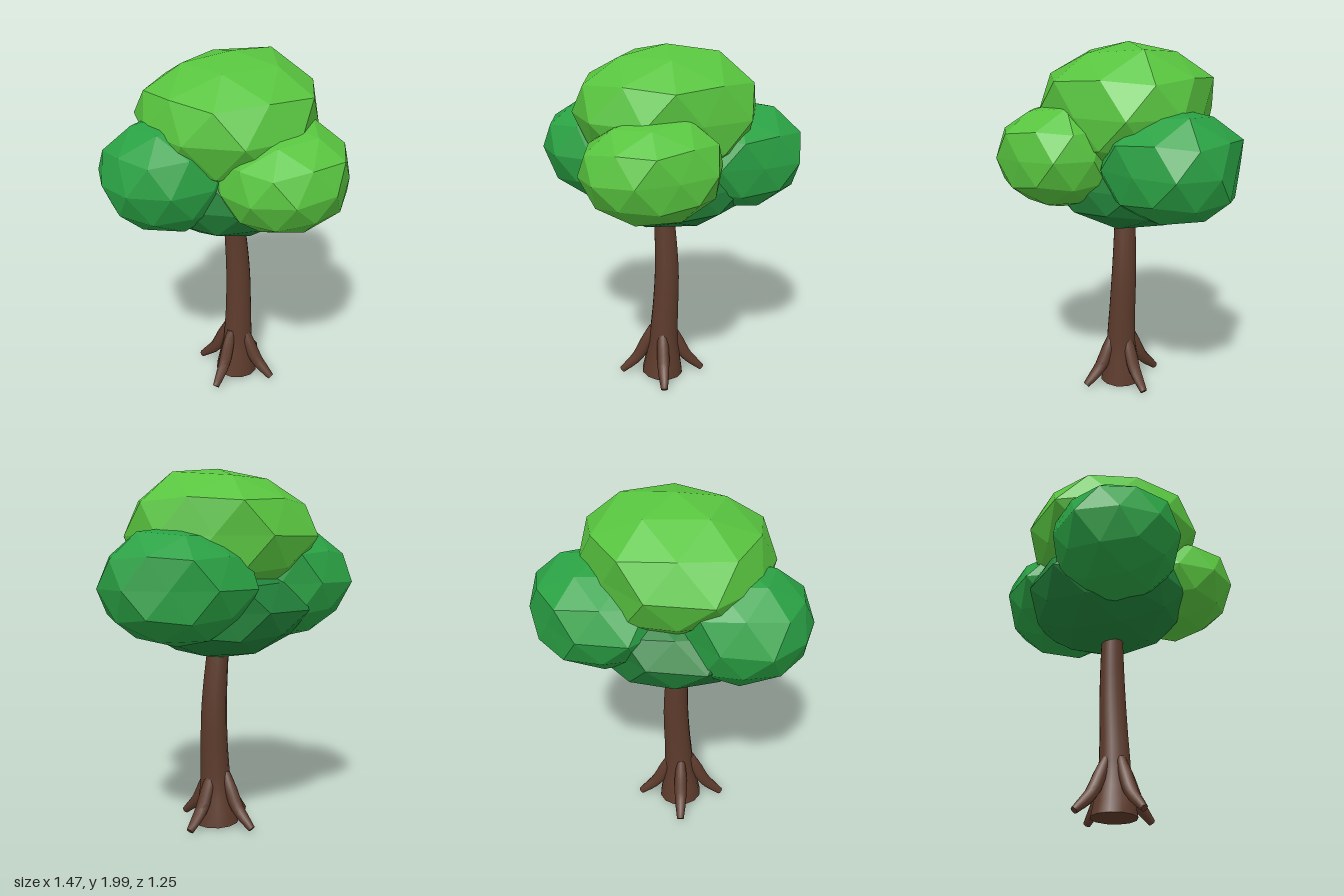
import * as THREE from 'three';
import { toCreasedNormals } from 'three/addons/utils/BufferGeometryUtils.js';

const leafLight = new THREE.MeshStandardMaterial({ color: 0x58c43f, flatShading: true, name: 'lightLeaves' });
const leafDark = new THREE.MeshStandardMaterial({ color: 0x2aa144, flatShading: true, name: 'darkLeaves' });
const leafDeep = new THREE.MeshStandardMaterial({ color: 0x22823a, flatShading: true, name: 'deepLeaves' });
const bark = new THREE.MeshStandardMaterial({ color: 0x5d3b2c, name: 'bark' });

// Tapered, capped tube along a curve through the given points
function taperedTube(points, radii, sides, segments) {
  const path = new THREE.CatmullRomCurve3(points.map((p) => new THREE.Vector3(...p)));
  const geo = new THREE.TubeGeometry(path, segments, 1, sides);
  const pos = geo.attributes.position;
  const v = new THREE.Vector3();
  for (let i = 0; i <= segments; i++) {
    const from = path.getPointAt(i / segments);
    const u = THREE.MathUtils.clamp((i - 1) / (segments - 2), 0, 1);
    const to = path.getPointAt(u);
    const k = Math.min(Math.floor(u * (radii.length - 1)), radii.length - 2);
    const capped = i === 0 || i === segments;
    const r = capped ? 0 : THREE.MathUtils.lerp(radii[k], radii[k + 1], u * (radii.length - 1) - k);
    for (let j = 0; j <= sides; j++) {
      const n = i * (sides + 1) + j;
      v.fromBufferAttribute(pos, n).sub(from).multiplyScalar(r).add(to);
      pos.setXYZ(n, v.x, v.y, v.z);
    }
  }
  return toCreasedNormals(geo, 0.8);
}

// Faceted unit clump: an icosphere standing on a corner, with an uneven girth
function clumpGeometry() {
  const girth = [1.01, 0.91, 1, 1.03, 1.01, 1, 1.1, 1, 0.86, 0.97];
  const geo = new THREE.IcosahedronGeometry(1, 1);
  geo.rotateZ(Math.atan(2 / (1 + Math.sqrt(5)))).rotateY(Math.PI);
  const pos = geo.attributes.position;
  for (let i = 0; i < pos.count; i++) {
    const x = pos.getX(i), y = pos.getY(i), z = pos.getZ(i);
    if (Math.abs(y) < 0.01) {
      // Girth corners, one every 36 degrees
      const step = Math.round((Math.atan2(z, x) - Math.PI / 10) / (Math.PI / 5));
      const f = girth[(step + 10) % 10];
      pos.setXYZ(i, x * f, y, z * f);
    } else if (y > 0.8 && x > 0.45) {
      // Raised shoulder on one side
      pos.setXYZ(i, x * 1.06, y * 1.08, z);
    } else if (y > 0.4 && y < 0.5) {
      // Fuller upper ring
      pos.setXYZ(i, x * 1.04, y * 1.06, z * 1.04);
    }
  }
  geo.computeVertexNormals();
  return geo;
}

export function createModel() {
  const tree = new THREE.Group();
  tree.name = 'tree';

  // Gently bent trunk, flared at the foot
  const trunk = new THREE.Mesh(taperedTube(
    [[-0.022, 0.015, -0.08], [-0.01, 0.3, -0.075], [0.004, 0.68, -0.085], [-0.013, 1.0, -0.095], [-0.04, 1.3, -0.1]],
    [0.125, 0.088, 0.078, 0.073, 0.066, 0.058, 0.052], 12, 20), bark);
  trunk.name = 'trunk';
  tree.add(trunk);

  // Four roots leaning out from the trunk
  const rootGeo = taperedTube(
    [[0.055, 0.315, 0], [0.095, 0.22, 0], [0.145, 0.12, 0], [0.245, 0.022, 0]],
    [0.024, 0.036, 0.038, 0.032, 0.02], 8, 12);
  for (let i = 0; i < 4; i++) {
    const root = new THREE.Mesh(rootGeo, bark);
    root.name = 'root' + (i + 1);
    root.position.set(-0.025, 0, -0.08);
    root.rotation.y = 0.29 + (i * Math.PI) / 2;
    tree.add(root);
  }

  // Leaf canopy: name, material, centre, radii, sideways tilt
  const clump = clumpGeometry();
  const canopy = [
    ['topLeaves', leafLight, [-0.005, 1.64, -0.105], [0.515, 0.36, 0.495], 0],
    ['frontLeaves', leafLight, [0.005, 1.405, 0.28], [0.385, 0.285, 0.345], 0.07],
    ['leftLeaves', leafDark, [0.345, 1.38, -0.245], [0.408, 0.305, 0.385], 0],
    ['rightLeaves', leafDark, [-0.365, 1.395, -0.21], [0.387, 0.318, 0.345], 0],
    ['bottomLeaves', leafDeep, [0, 1.255, -0.13], [0.465, 0.277, 0.45], 0],
  ];
  for (const [name, material, centre, radii, tilt] of canopy) {
    const leaves = new THREE.Mesh(clump, material);
    leaves.name = name;
    leaves.position.set(...centre);
    leaves.scale.set(...radii);
    leaves.rotation.z = tilt;
    tree.add(leaves);
  }
  return tree;
}
